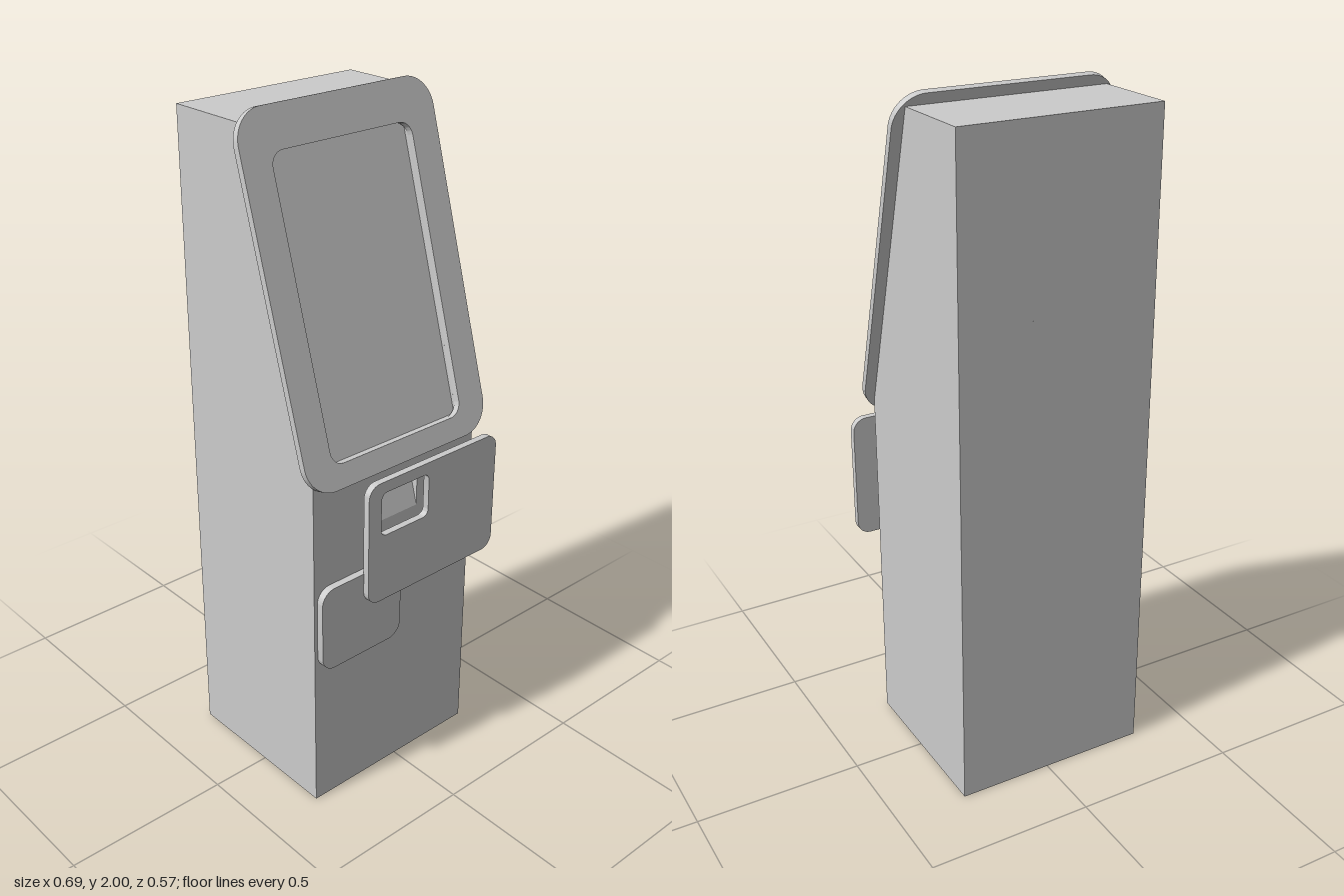
import * as THREE from 'three';
import { toCreasedNormals } from 'three/addons/utils/BufferGeometryUtils.js';

const material = new THREE.MeshStandardMaterial({ color: 0xcccccc });

// Rounded rectangle outline, usable as a shape or a hole
function roundedRect(path, x0, y0, x1, y1, r) {
  path.moveTo(x0 + r, y0);
  path.lineTo(x1 - r, y0);
  path.absarc(x1 - r, y0 + r, r, -Math.PI / 2, 0);
  path.lineTo(x1, y1 - r);
  path.absarc(x1 - r, y1 - r, r, 0, Math.PI / 2);
  path.lineTo(x0 + r, y1);
  path.absarc(x0 + r, y1 - r, r, Math.PI / 2, Math.PI);
  path.lineTo(x0, y0 + r);
  path.absarc(x0 + r, y0 + r, r, Math.PI, Math.PI * 1.5);
  return path;
}

// Flat plate with rounded corners and an optional rounded opening
function plate(name, outer, z0, depth, opening) {
  const shape = roundedRect(new THREE.Shape(), ...outer);
  if (opening) shape.holes.push(roundedRect(new THREE.Path(), ...opening));
  const geometry = new THREE.ExtrudeGeometry(shape, { depth, bevelEnabled: false, curveSegments: 10 });
  geometry.translate(0, 0, z0);
  const mesh = new THREE.Mesh(toCreasedNormals(geometry, 0.6), material);
  mesh.name = name;
  return mesh;
}

// Tilted screen plane: s runs up the slope, d is the offset along its normal
const tilt = Math.atan2(0.283, 0.963);
const base = { y: 1.037, z: 0.273 };
const onSlope = (s, d) => [
  base.z - s * Math.sin(tilt) + d * Math.cos(tilt),
  base.y + s * Math.cos(tilt) + d * Math.sin(tilt),
];

const FRONT = 0.243, BACK = -0.285, TOP = 1.965;
const FRAME = 0.02, FLOOR = 0.029;
const HOLE = { x0: -0.257, x1: 0.223, s0: 0.066, s1: 0.889 };
const SLOT = { x0: -0.095, x1: 0.066, y0: 0.86, y1: 0.95 };

// One slice of the cabinet: a [z, y] side profile extruded across x
function bodySlice(x0, x1, hasScreen, hasSlot) {
  const profile = [[BACK, 0], [FRONT, 0]];
  if (hasSlot) profile.push([FRONT, SLOT.y0], [FRONT - 0.026, SLOT.y1], [FRONT, SLOT.y1]);
  profile.push([FRONT, 1.068]);
  if (hasScreen) {
    profile.push(
      onSlope(HOLE.s0, -FRAME), onSlope(HOLE.s0, -FLOOR),
      onSlope(HOLE.s1, -FLOOR), onSlope(HOLE.s1, -FRAME),
    );
  }
  profile.push([-0.0205, TOP], [BACK, TOP]);
  const shape = new THREE.Shape(profile.map(([z, y]) => new THREE.Vector2(-z, y)));
  const geometry = new THREE.ExtrudeGeometry(shape, { depth: x1 - x0, bevelEnabled: false });
  geometry.rotateY(Math.PI / 2).translate(x0, 0, 0);
  return new THREE.Mesh(geometry, material);
}

export function createModel() {
  const model = new THREE.Group();
  model.name = 'kiosk';

  // Cabinet, with the screen recess and the slot cut into its middle slices
  const cabinet = new THREE.Group();
  cabinet.name = 'cabinet';
  const cuts = [-0.317, HOLE.x0, SLOT.x0, SLOT.x1, HOLE.x1, 0.284];
  for (let i = 0; i < 5; i++) {
    const slice = bodySlice(cuts[i], cuts[i + 1], i > 0 && i < 4, i === 2);
    slice.name = `cabinetSlice${i + 1}`;
    cabinet.add(slice);
  }
  model.add(cabinet);

  // Tilted screen frame
  const frame = plate('screenFrame', [-0.349, 0, 0.317, 1.004, 0.09], -FRAME, FRAME,
    [HOLE.x0, HOLE.s0, HOLE.x1, HOLE.s1, 0.04]);
  frame.position.set(0, base.y, base.z);
  frame.rotation.x = -tilt;
  model.add(frame);

  // Front plates: the upper one stands clear of the cabinet, the lower one lies on it
  model.add(plate('upperPlate', [-0.154, 0.63, 0.345, 1.01, 0.04], 0.263, 0.021,
    [-0.107, 0.84, 0.073, 0.975, 0.02]));
  model.add(plate('lowerPlate', [-0.306, 0.465, -0.01, 0.73, 0.045], FRONT, 0.022));

  return model;
}
